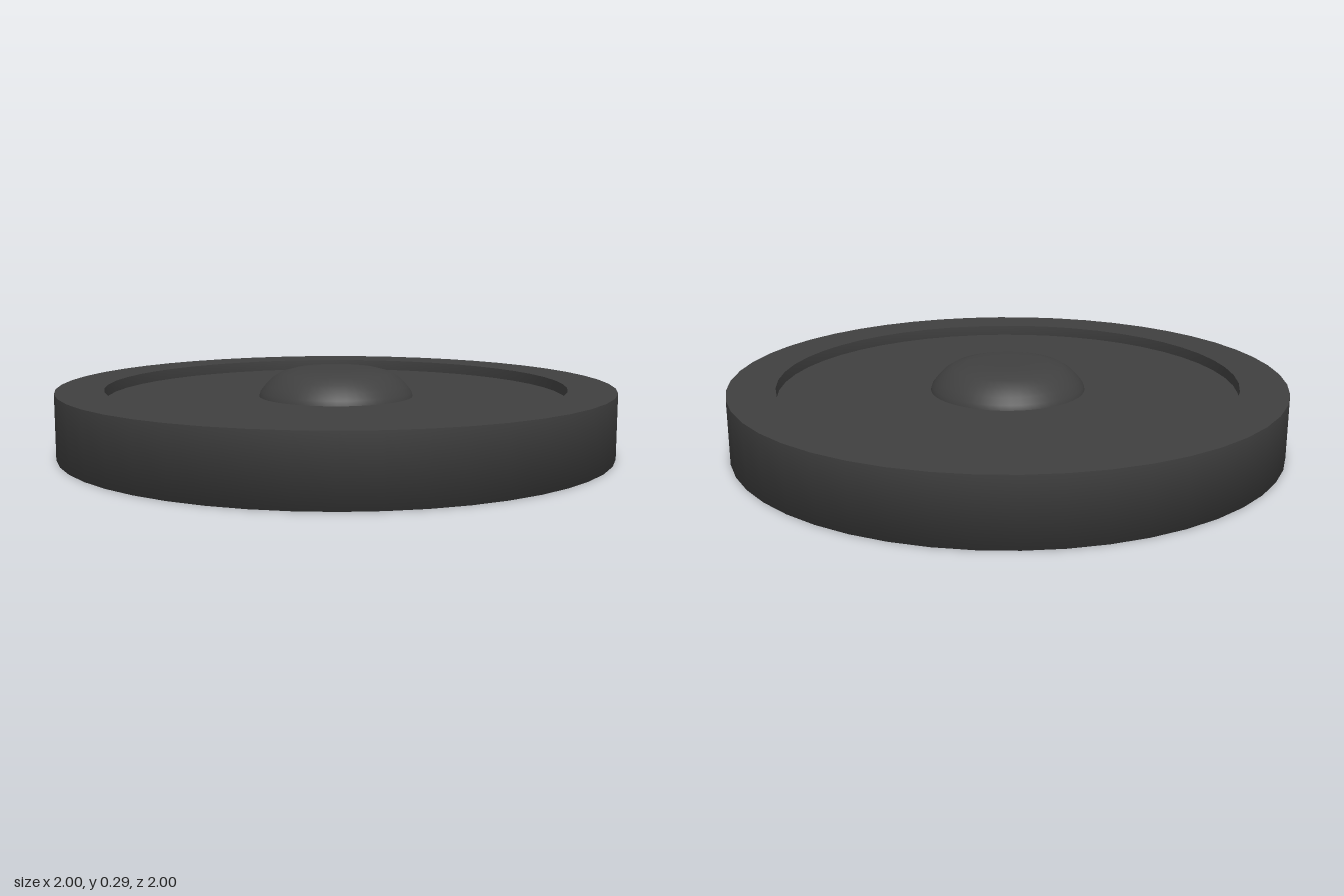
import * as THREE from 'three';

const material = new THREE.MeshStandardMaterial({ color: 0x404040 });

// Turns a profile of [radius, height] pairs about the y axis.
function turned(name, profile, segments) {
  const points = profile.map(([r, y]) => new THREE.Vector2(r, y));
  const mesh = new THREE.Mesh(new THREE.LatheGeometry(points, segments), material);
  mesh.name = name;
  return mesh;
}

export function createModel() {
  const group = new THREE.Group();
  group.name = 'roundBase';

  const outer = 1, inner = 0.83, height = 0.23, floor = 0.19, underside = 0.01;

  // Rim: walls blend softly into the bottom face, the top face stays sharp
  group.add(turned('rimBody', [[inner, height], [inner, 0], [outer, 0], [outer, height]], 48));
  group.add(turned('rimTop', [[outer, height], [inner, height]], 48));

  // Plate closing the ring, slightly recessed on both sides
  const plate = new THREE.Mesh(
    new THREE.CylinderGeometry(inner, inner, floor - underside, 48), material);
  plate.position.y = (floor + underside) / 2;
  plate.name = 'innerPlate';
  group.add(plate);

  // Low rounded knob in the middle
  group.add(turned('centreKnob', [
    [0.28, floor], [0.275, 0.207], [0.257, 0.23], [0.232, 0.255],
    [0.2, 0.275], [0.15, 0.288], [0.08, 0.29], [0, 0.29],
  ], 48));

  return group;
}
